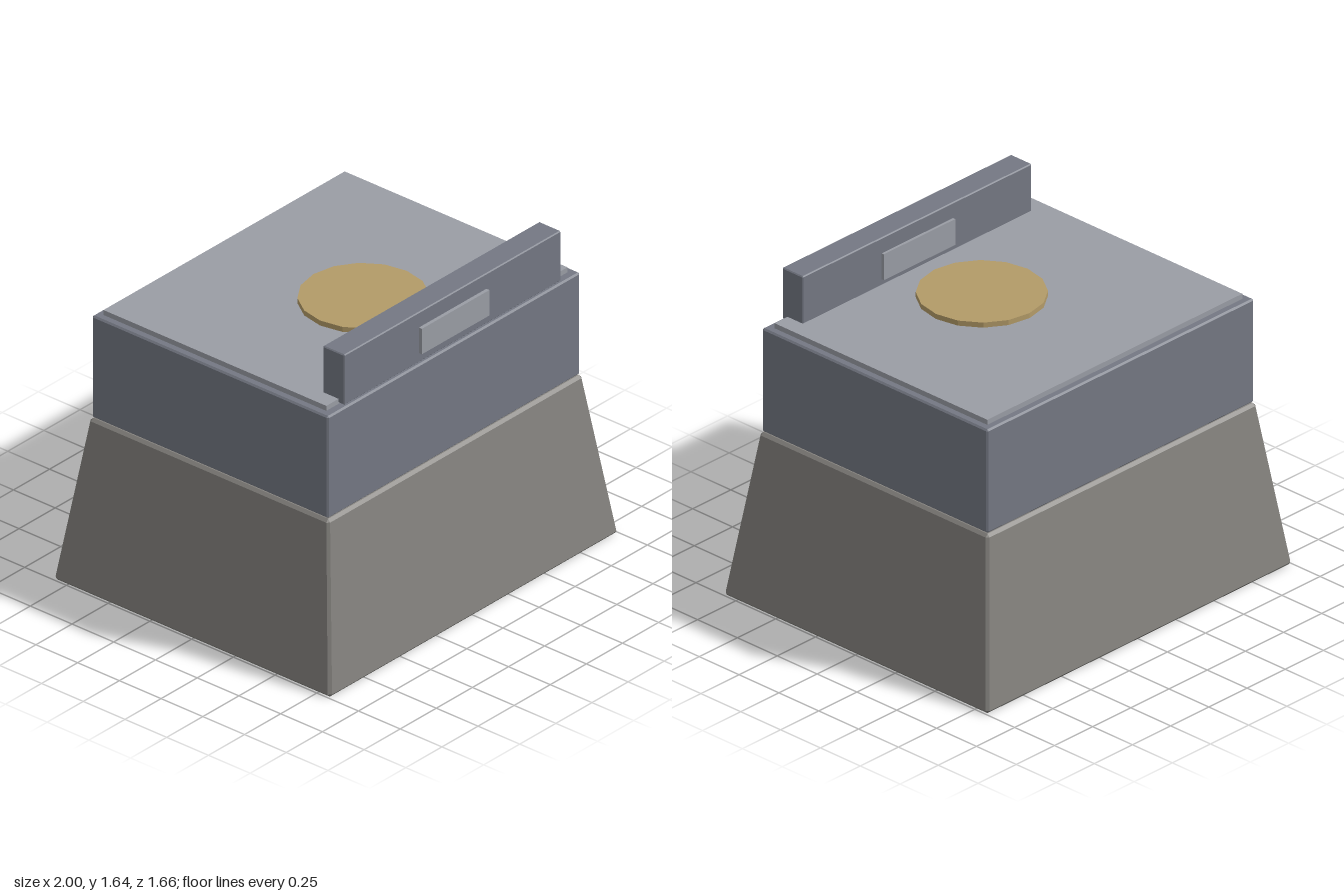
import * as THREE from 'three';
import { ConvexGeometry } from 'three/addons/geometries/ConvexGeometry.js';

const paint = (color) => new THREE.MeshStandardMaterial({ color, flatShading: true });

// Box with chamfered edges; the top can be narrowed by topX and topZ.
function chamferBox(w, h, d, c, topX = 1, topZ = 1) {
  const points = [];
  for (const sx of [-1, 1]) for (const sy of [-1, 1]) for (const sz of [-1, 1]) {
    for (const [ix, iy, iz] of [[0, c, c], [c, 0, c], [c, c, 0]]) {
      const y = sy * (h / 2 - iy);
      const t = y / h + 0.5;
      points.push(new THREE.Vector3(
        sx * (w / 2 - ix) * (1 + (topX - 1) * t),
        y,
        sz * (d / 2 - iz) * (1 + (topZ - 1) * t)));
    }
  }
  return new ConvexGeometry(points);
}

export function createModel() {
  const model = new THREE.Group();
  const stone = paint(0x84827e);
  const steel = paint(0x747883);
  const paleSteel = paint(0x9a9da5);
  const brass = paint(0xb39b68);

  const add = (name, geometry, material, x, y, z) => {
    const mesh = new THREE.Mesh(geometry, material);
    mesh.name = name;
    mesh.position.set(x, y, z);
    model.add(mesh);
  };

  // Tapered plinth and the block standing on it
  add('taperedBase', chamferBox(2, 0.835, 1.66, 0.014, 0.88, 0.862), stone, 0, 0.4175, 0);
  add('upperBlock', chamferBox(1.746, 0.532, 1.416, 0.008), steel, 0, 1.104, 0);

  // Thin deck with a round inlay
  add('topPlate', new THREE.BoxGeometry(1.67, 0.03, 1.335), paleSteel, 0, 1.381, -0.003);
  add('roundInlay', new THREE.CylinderGeometry(0.3, 0.3, 0.03, 16), brass, 0, 1.407, 0.164);

  // Front parapet with a plaque showing on both faces
  add('frontParapet', chamferBox(1.5, 0.262, 0.13, 0.005), steel, 0, 1.506, 0.634);
  add('parapetPlaque', new THREE.BoxGeometry(0.468, 0.133, 0.162), paleSteel, 0, 1.491, 0.636);

  return model;
}
